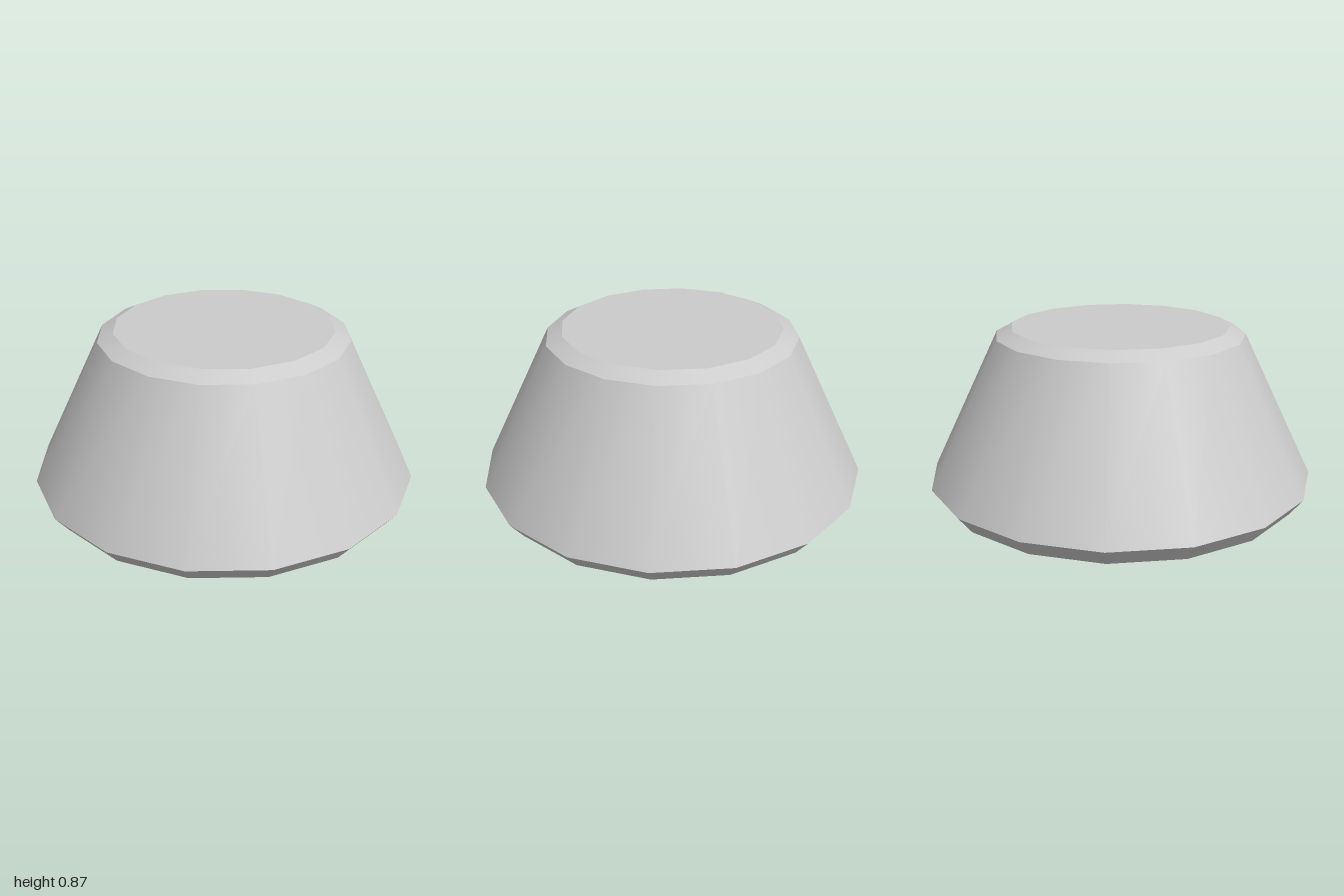
import * as THREE from 'three';

const SIDES = 16;
// Ring profile from bottom to top: [radius, height]
const RINGS = [[0.93, 0], [1, 0.09], [0.64, 0.832], [0.56, 0.873]];
const BANDS = ['lowerBevel', 'taperedWall', 'upperBevel'];

export function createModel() {
  const model = new THREE.Group();
  model.name = 'taperedBase';
  const material = new THREE.MeshStandardMaterial({ color: 0xcccccc });

  const add = (name, geometry, y) => {
    const mesh = new THREE.Mesh(geometry, material);
    mesh.name = name;
    mesh.position.y = y;
    model.add(mesh);
  };

  // Sloped bands: smooth around, with a crisp edge between neighbours
  BANDS.forEach((name, i) => {
    const [r0, y0] = RINGS[i];
    const [r1, y1] = RINGS[i + 1];
    add(name, new THREE.CylinderGeometry(r1, r0, y1 - y0, SIDES, 1, true), (y0 + y1) / 2);
  });

  // Flat caps closing the bottom and the top
  const [bottom, top] = [RINGS[0], RINGS[RINGS.length - 1]];
  add('bottomCap', new THREE.CircleGeometry(bottom[0], SIDES).rotateX(Math.PI / 2), bottom[1]);
  add('topCap', new THREE.CircleGeometry(top[0], SIDES).rotateX(-Math.PI / 2), top[1]);

  return model;
}
